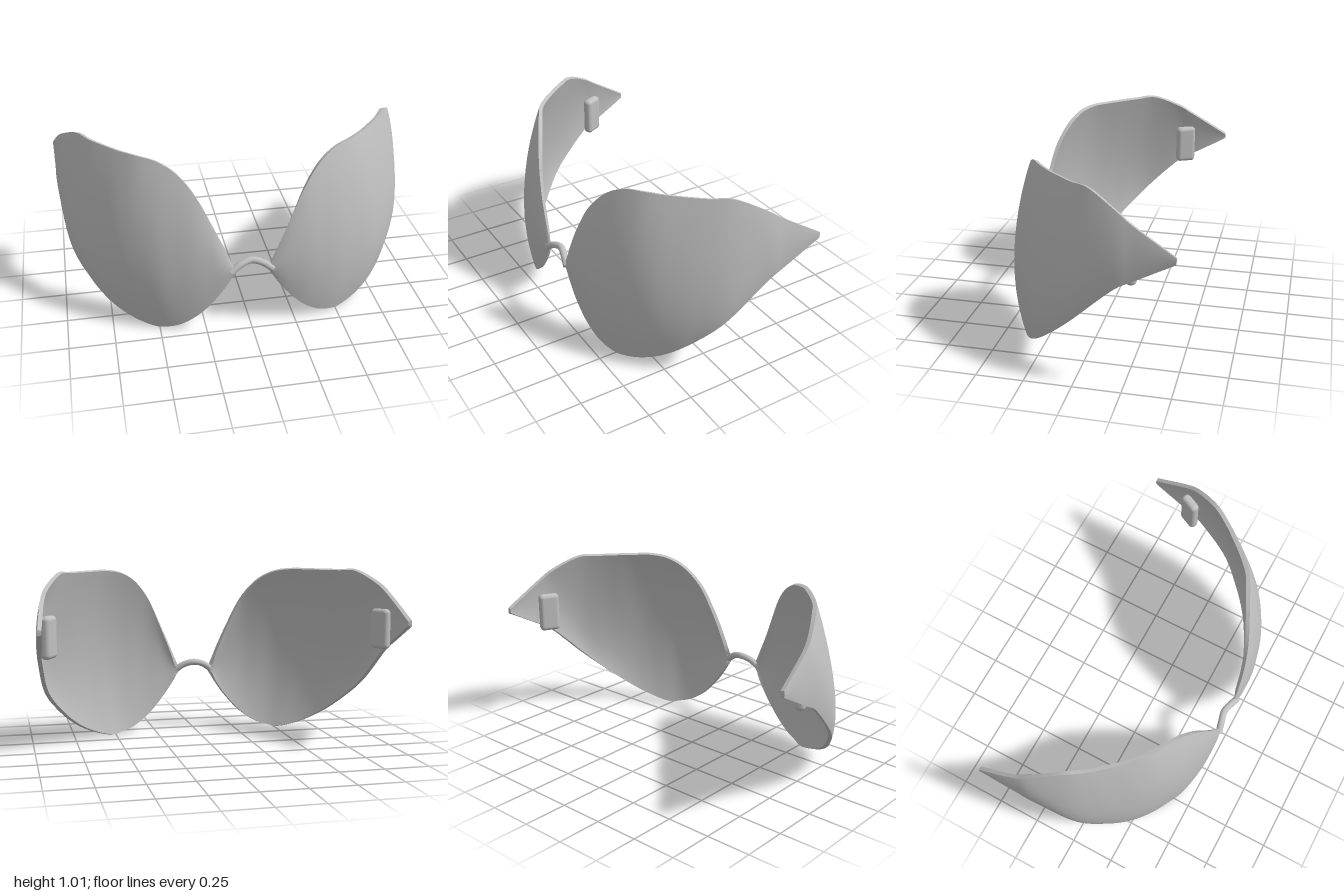
import * as THREE from 'three';
import { RoundedBoxGeometry } from 'three/addons/geometries/RoundedBoxGeometry.js';

const grey = new THREE.MeshStandardMaterial({ color: 0xc0c0c0 });
grey.name = 'plain grey';

const V = (x, y, z) => new THREE.Vector3(x, y, z);
const spline = (pts) => new THREE.CatmullRomCurve3(pts.map((p) => V(...p)), false, 'catmullrom', 0.5);

// Guide curves running from the bridge to the side tip: top edge, middle, bottom edge
const top = spline([
  [0.10, 0.40, 0.475], [0.15, 0.52, 0.472], [0.21, 0.655, 0.46], [0.285, 0.81, 0.43],
  [0.375, 0.925, 0.38], [0.47, 0.983, 0.33], [0.57, 1, 0.275], [0.65, 1, 0.205],
  [0.72, 1, 0.13], [0.795, 1, 0.04], [0.86, 1, -0.06], [0.935, 0.935, -0.2],
  [0.968, 0.87, -0.3], [0.995, 0.745, -0.505],
]);
const middle = spline([
  [0.095, 0.37, 0.485], [0.16, 0.40, 0.495], [0.22, 0.43, 0.496], [0.31, 0.45, 0.49],
  [0.40, 0.47, 0.47], [0.50, 0.48, 0.44], [0.60, 0.48, 0.39], [0.69, 0.49, 0.33],
  [0.77, 0.50, 0.255], [0.86, 0.53, 0.145], [0.94, 0.60, 0], [0.98, 0.735, -0.19],
  [0.988, 0.735, -0.31], [0.997, 0.728, -0.505],
]);
const bottom = spline([
  [0.10, 0.345, 0.48], [0.15, 0.265, 0.48], [0.21, 0.185, 0.476], [0.29, 0.10, 0.465],
  [0.38, 0.037, 0.445], [0.46, 0.01, 0.42], [0.53, 0, 0.385], [0.64, 0.035, 0.33],
  [0.75, 0.10, 0.255], [0.85, 0.20, 0.15], [0.94, 0.34, 0.01], [0.982, 0.54, -0.2],
  [0.988, 0.605, -0.31], [0.995, 0.71, -0.505],
]);

// Point on the outer surface: a parabola through the three guides
function surface(u, v) {
  return top.getPoint(u).multiplyScalar((1 - v) * (1 - 2 * v))
    .addScaledVector(middle.getPoint(u), 4 * v * (1 - v))
    .addScaledVector(bottom.getPoint(u), v * (2 * v - 1));
}

// Curved shell with thickness; side is +1 or -1
function shellGeometry(side) {
  const nu = 90, nv = 28, thickness = 0.022;
  const outer = [], inner = [], index = [];
  for (let i = 0; i <= nu; i++) {
    for (let j = 0; j <= nv; j++) {
      const u = i / nu, v = j / nv, e = 0.004;
      const du = surface(Math.min(u + e, 1), v).sub(surface(Math.max(u - e, 0), v));
      const dv = surface(u, Math.min(v + e, 1)).sub(surface(u, Math.max(v - e, 0)));
      const p = surface(u, v);
      outer.push(p);
      inner.push(p.clone().addScaledVector(dv.cross(du).normalize(), -thickness));
    }
  }
  const at = (i, j) => i * (nv + 1) + j;
  const n = outer.length;
  const tri = (a, b, c) => (side > 0 ? index.push(a, b, c) : index.push(a, c, b));

  // Outer and inner skins
  for (let i = 0; i < nu; i++) {
    for (let j = 0; j < nv; j++) {
      const a = at(i, j), b = at(i, j + 1), c = at(i + 1, j), d = at(i + 1, j + 1);
      tri(a, b, c);
      tri(b, d, c);
      tri(n + a, n + c, n + b);
      tri(n + b, n + c, n + d);
    }
  }

  // Rim closing the edge, with its own vertices to stay sharp
  const loop = [];
  for (let i = 0; i < nu; i++) loop.push(at(i, 0));
  for (let j = 0; j < nv; j++) loop.push(at(nu, j));
  for (let i = nu; i > 0; i--) loop.push(at(i, nv));
  for (let j = nv; j > 0; j--) loop.push(at(0, j));
  const m = loop.length;
  const points = [...outer, ...inner, ...loop.map((k) => outer[k]), ...loop.map((k) => inner[k])];
  for (let k = 0; k < m; k++) {
    const o0 = 2 * n + k, o1 = 2 * n + ((k + 1) % m);
    tri(o0, o1, o0 + m);
    tri(o1, o1 + m, o0 + m);
  }

  const geometry = new THREE.BufferGeometry().setFromPoints(points.map((p) => V(p.x * side, p.y, p.z)));
  geometry.setIndex(index);
  geometry.computeVertexNormals();
  return geometry;
}

function add(parent, name, geometry) {
  const mesh = new THREE.Mesh(geometry, grey);
  mesh.name = name;
  parent.add(mesh);
  return mesh;
}

export function createModel() {
  const model = new THREE.Group();
  model.name = 'wraparoundShields';

  for (const side of [1, -1]) {
    const label = side > 0 ? 'left' : 'right';
    add(model, label + 'Shell', shellGeometry(side));

    // Rounded pad inside the side tip
    const pad = add(model, label + 'Pad', new RoundedBoxGeometry(0.055, 0.225, 0.12, 5, 0.024));
    pad.position.set(0.925 * side, 0.675, -0.255);
    pad.rotation.y = -0.46 * side;
  }

  // Arched bridge joining the two shells
  const arch = spline([
    [-0.115, 0.365, 0.484], [-0.06, 0.402, 0.47], [0, 0.417, 0.458],
    [0.06, 0.402, 0.47], [0.115, 0.365, 0.484],
  ]);
  add(model, 'bridge', new THREE.TubeGeometry(arch, 32, 0.019, 16));
  for (const t of [0, 1]) {
    const cap = add(model, 'bridgeEnd', new THREE.CircleGeometry(0.019, 16));
    const p = arch.getPoint(t);
    cap.position.copy(p);
    cap.lookAt(p.addScaledVector(arch.getTangent(t), t ? 1 : -1));
  }
  return model;
}
